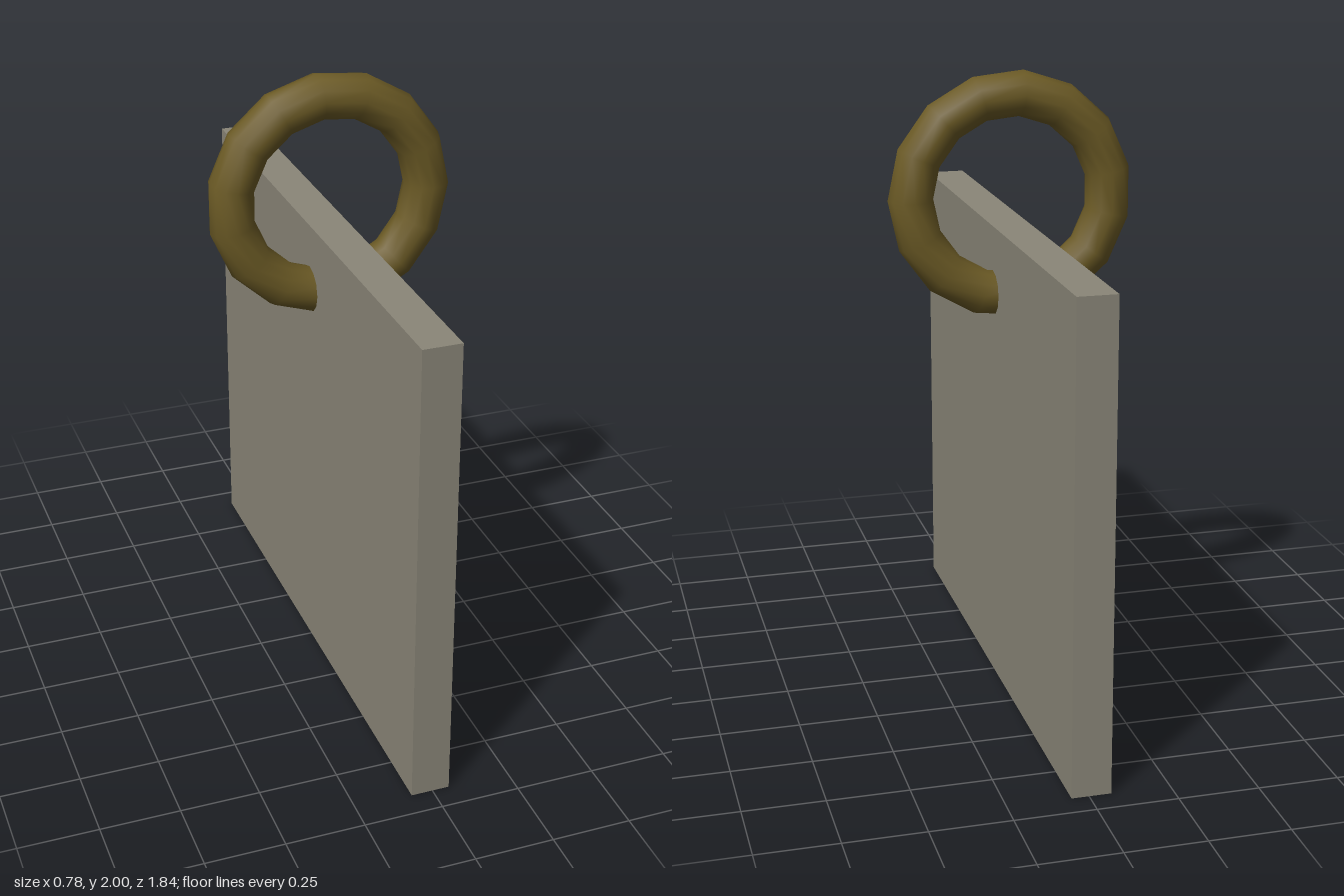
import * as THREE from 'three';

export function createModel() {
  const group = new THREE.Group();

  // Upright rectangular panel
  const panel = new THREE.Mesh(
    new THREE.BoxGeometry(0.122, 1.515, 1.84),
    new THREE.MeshStandardMaterial({ color: 0x8a8678 })
  );
  panel.name = 'panel';
  panel.position.set(-0.007, 1.515 / 2, 0);

  // Ring threaded through the top of the panel
  const ring = new THREE.Mesh(
    new THREE.TorusGeometry(0.32, 0.072, 12, 15),
    new THREE.MeshStandardMaterial({ color: 0x6b5a25 })
  );
  ring.name = 'ring';
  ring.position.set(-0.004, 1.611, 0);

  group.add(panel, ring);
  return group;
}
